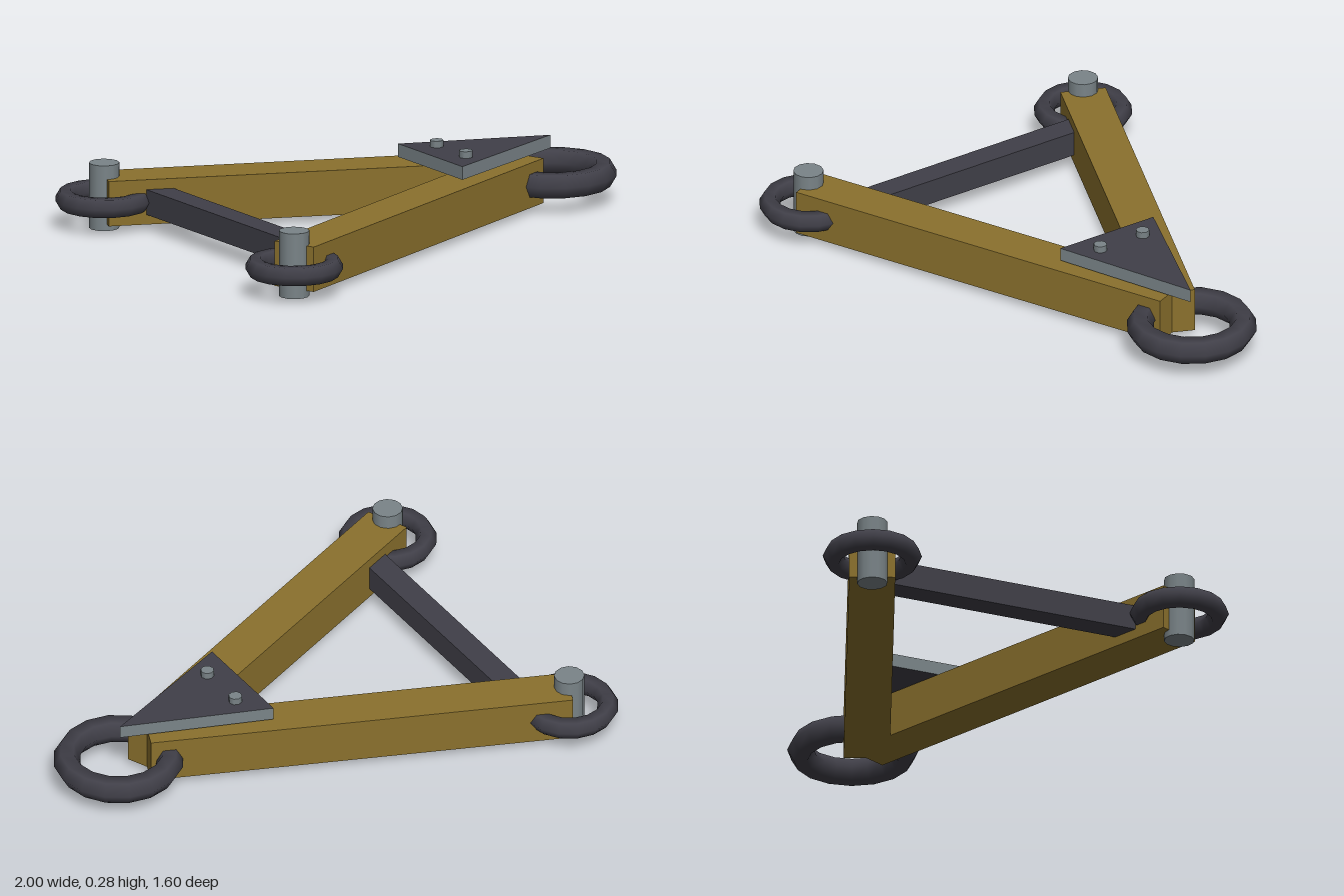
import * as THREE from 'three';

export function createModel() {
  const model = new THREE.Group();
  model.name = 'towingFrame';

  const material = (name, color) => {
    const m = new THREE.MeshStandardMaterial({ color });
    m.name = name;
    return m;
  };
  const ochre = material('ochrePaint', 0x8b712d);
  const steel = material('steel', 0x7a8488);
  const iron = material('darkIron', 0x403f48);

  const add = (name, geometry, mat, x, y, z) => {
    const mesh = new THREE.Mesh(geometry, mat);
    mesh.name = name;
    mesh.position.set(x, y, z);
    model.add(mesh);
    return mesh;
  };
  // Ring lying flat, with a six-sided tube
  const addRing = (name, radius, tube, x, z) => {
    const geometry = new THREE.TorusGeometry(radius, tube, 6, 16);
    geometry.rotateX(Math.PI / 2);
    return add(name, geometry, iron, x, 0.11, z);
  };

  const pinX = -0.818, pinZ = 0.617, noseX = 0.632;
  const armLength = Math.hypot(noseX - pinX, pinZ);
  const armAngle = Math.atan2(pinZ, noseX - pinX);

  for (const [side, s] of [['front', 1], ['back', -1]]) {
    // Beam running from the rear pin to the nose
    const arm = add(side + 'Arm', new THREE.BoxGeometry(armLength, 0.17, 0.17), ochre,
      (pinX + noseX) / 2, 0.11, s * pinZ / 2);
    arm.rotation.y = s * armAngle;

    // Hinge pin with its ring
    add(side + 'Pin', new THREE.CylinderGeometry(0.056, 0.056, 0.247, 12), steel, pinX, 0.1235, s * pinZ);
    addRing(side + 'PinRing', 0.144, 0.039, pinX, s * pinZ);

    // Bolt through the nose plate
    add(side + 'Bolt', new THREE.CylinderGeometry(0.025, 0.025, 0.04, 8), steel, 0.307, 0.26, s * 0.095);
  }

  // Brace between the arms
  add('crossBar', new THREE.BoxGeometry(0.095, 0.095, 1.02), iron, -0.674, 0.11, 0);

  // Coupling ring at the nose
  addRing('noseRing', 0.192, 0.05, 0.757, 0);

  // Triangular plate: dark faces, bare steel edges
  const triangle = new THREE.Shape([
    new THREE.Vector2(0.213, -0.209),
    new THREE.Vector2(0.75, 0),
    new THREE.Vector2(0.213, 0.209),
  ]);
  const plate = new THREE.ExtrudeGeometry(triangle, { depth: 0.05, bevelEnabled: false });
  plate.rotateX(-Math.PI / 2);
  add('nosePlate', plate, [iron, steel], 0, 0.205, 0);

  return model;
}
